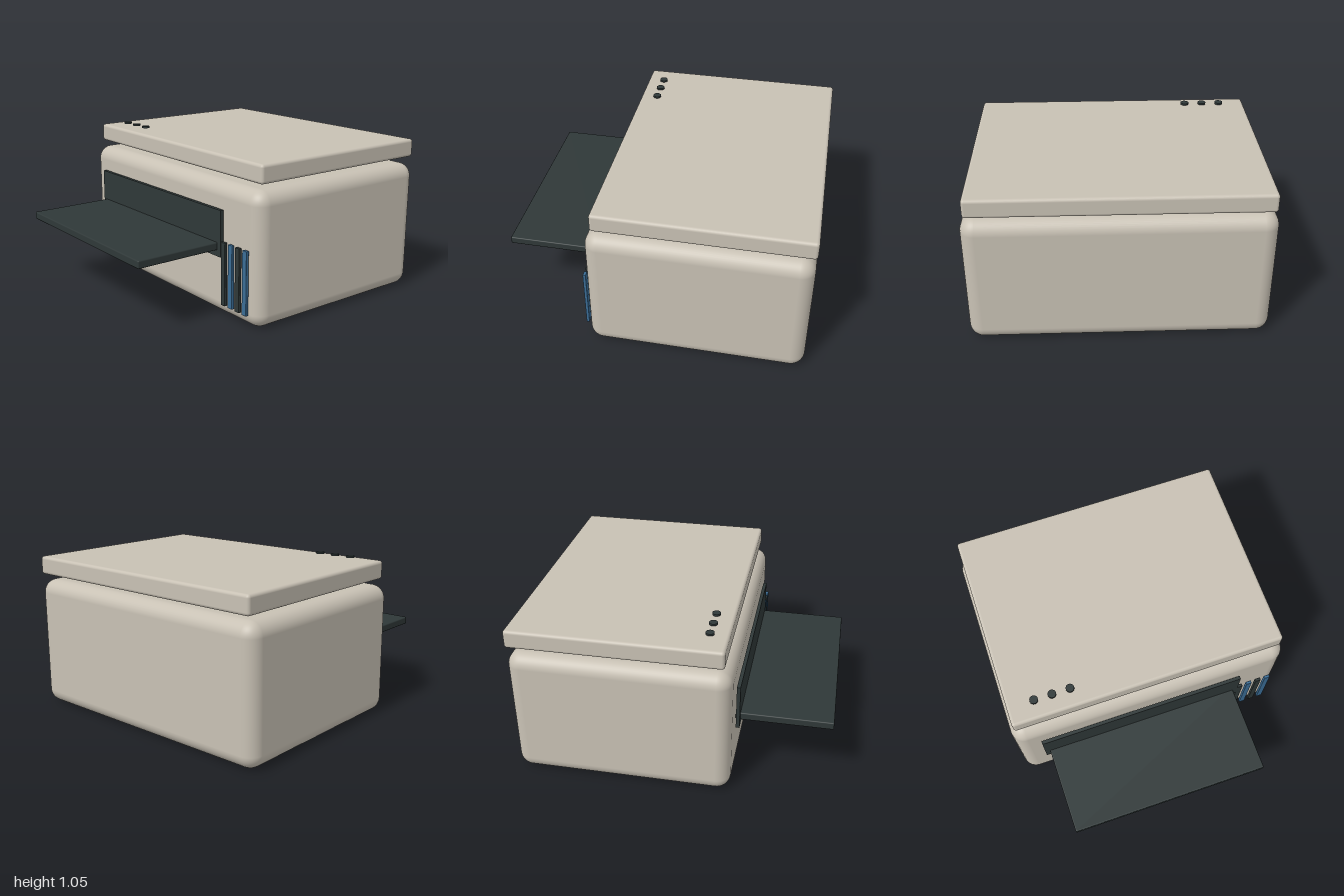
import * as THREE from 'three';
import { RoundedBoxGeometry } from 'three/addons/geometries/RoundedBoxGeometry.js';

export function createModel() {
  const group = new THREE.Group();
  const mat = (name, color) => {
    const m = new THREE.MeshStandardMaterial({ color });
    m.name = name;
    return m;
  };
  const casing = mat('warm grey casing', 0xc8c1b4);
  const dark = mat('dark slate', 0x2f3838);
  const blue = mat('blue', 0x3b6d96);

  const add = (name, geometry, material, x, y, z) => {
    const mesh = new THREE.Mesh(geometry, material);
    mesh.name = name;
    mesh.position.set(x, y, z);
    group.add(mesh);
  };
  // Box given by its extents, rounded when a radius is set
  const box = (name, material, [x0, x1], [y0, y1], [z0, z1], r = 0) => {
    const size = [x1 - x0, y1 - y0, z1 - z0];
    const geometry = r
      ? new RoundedBoxGeometry(...size, 5, r)
      : new THREE.BoxGeometry(...size);
    add(name, geometry, material, (x0 + x1) / 2, (y0 + y1) / 2, (z0 + z1) / 2);
  };

  // Main housing and the scanner lid hovering just above it
  box('body', casing, [-0.937, 0.937], [0, 0.862], [-1, 0.39], 0.09);
  box('scannerLid', casing, [-0.908, 0.905], [0.9, 1.02], [-1, 0.345], 0.02);

  // Paper opening and output tray
  box('paperSlot', dark, [-0.77, 0.62], [0.4, 0.7], [0.402, 0.425]);
  box('outputTray', dark, [-0.738, 0.588], [0.44, 0.49], [0.395, 1], 0.008);

  // Ink cartridges, alternating dark and blue
  for (let i = 0; i < 4; i++) {
    const x = 0.641 + i * 0.068;
    box(`inkCartridge${i + 1}`, i % 2 ? blue : dark,
      [x - 0.02, x + 0.02], [0.09, 0.502], [0.403, 0.423], 0.003);
  }

  // Control buttons above the lid
  for (let i = 0; i < 3; i++) {
    add(`button${i + 1}`, new THREE.CylinderGeometry(0.027, 0.027, 0.012, 24),
      dark, -0.73 + i * 0.118, 1.04, 0.228);
  }
  return group;
}
